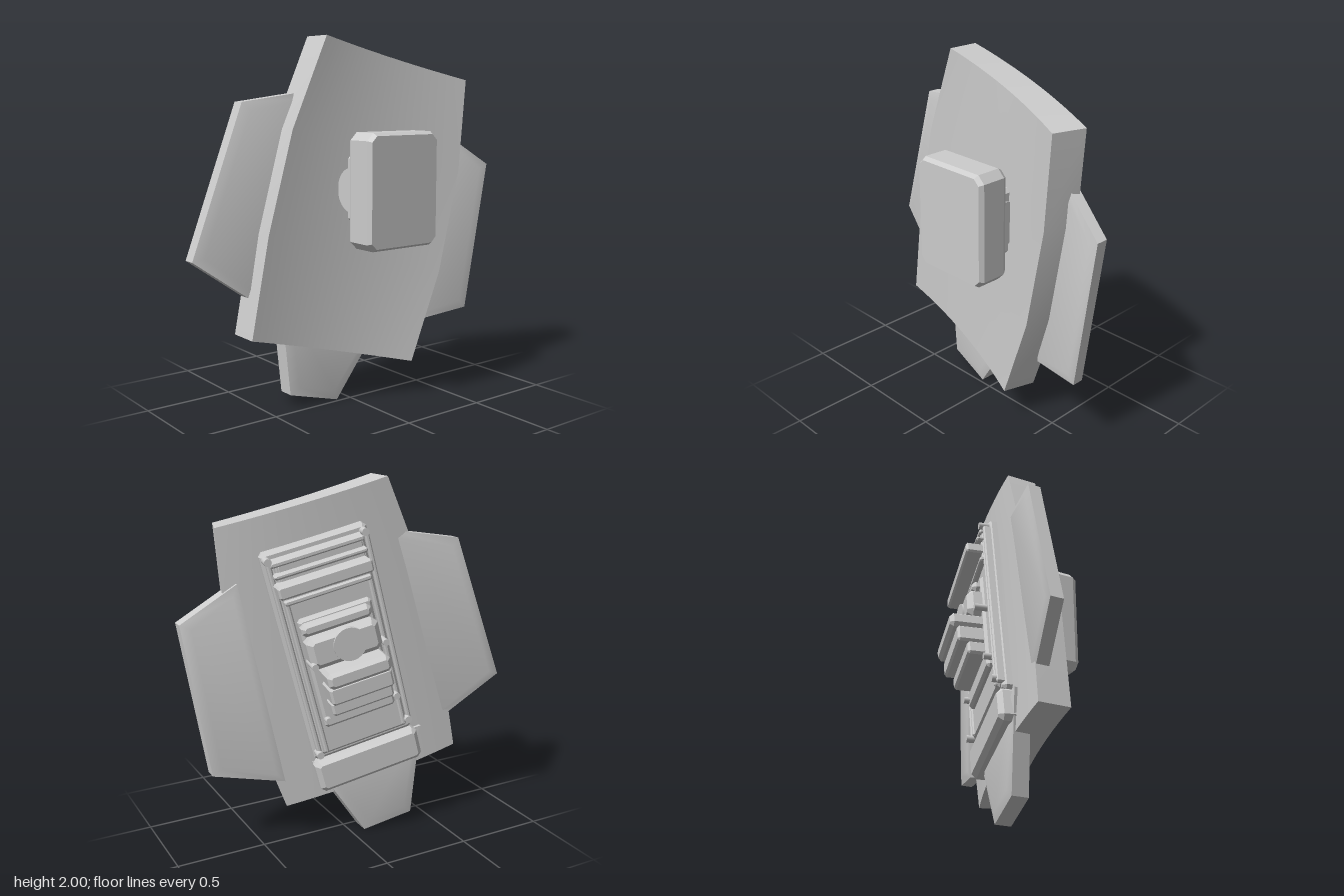
import * as THREE from 'three';
import { toCreasedNormals } from 'three/addons/utils/BufferGeometryUtils.js';

const grey = new THREE.MeshStandardMaterial({ color: 0xcccccc });
grey.name = 'light grey';

function mesh(name, geometry, parent) {
  const m = new THREE.Mesh(geometry, grey);
  m.name = name;
  parent.add(m);
  return m;
}

// Box centred on the origin: corners cut by c, face edges cut by inset and rise
function chamferBox(w, h, d, c, inset = c, rise = c) {
  const s = new THREE.Shape();
  const a = w / 2, b = h / 2;
  s.moveTo(-a + c, -b);
  s.lineTo(a - c, -b); s.lineTo(a, -b + c);
  s.lineTo(a, b - c); s.lineTo(a - c, b);
  s.lineTo(-a + c, b); s.lineTo(-a, b - c);
  s.lineTo(-a, -b + c); s.closePath();
  return new THREE.ExtrudeGeometry(s, {
    depth: d - 2 * rise, bevelThickness: rise, bevelSize: inset, bevelOffset: -inset, bevelSegments: 1,
  }).translate(0, 0, -d / 2 + rise);
}

// Slanted slab: outline in (z, y), its outer face at x = a + b z + c y
function slab(points, [a, b, c], thickness) {
  const bevel = 0.012;
  const shape = new THREE.Shape(points.map(([z, y]) => new THREE.Vector2(-z, y)));
  const g = new THREE.ExtrudeGeometry(shape, {
    depth: thickness - 2 * bevel, bevelThickness: bevel,
    bevelSize: 0.05, bevelOffset: -0.05, bevelSegments: 1,
  }).translate(0, 0, bevel).rotateY(Math.PI / 2);
  const p = g.attributes.position;
  for (let i = 0; i < p.count; i++) {
    p.setX(i, p.getX(i) + a + b * p.getZ(i) + c * p.getY(i));
  }
  return toCreasedNormals(g, 0.5);
}

// Curved main plate: a box grid bent between its front and back edges
function curvedPlate() {
  const front = [[0.075, 2.0, 0.21], [0.05, 1.52, 0.41], [0.03, 0.98, 0.55], [0.01, 0.44, 0.645]];
  const back = [[0.23, 1.775, -0.64], [0.225, 1.27, -0.6], [0.205, 0.7, -0.48], [0.18, 0.2, -0.3]];
  const g = new THREE.BoxGeometry(1, 1, 1, 14, 3, 1);
  const p = g.attributes.position;
  for (let i = 0; i < p.count; i++) {
    const t = p.getX(i) + 0.5;
    const row = Math.round((0.5 - p.getY(i)) * 3);
    const out = p.getZ(i) + 0.5;
    const [x, y, z] = [0, 1, 2].map((k) => THREE.MathUtils.lerp(back[row][k], front[row][k], t));
    p.setXYZ(i, x - 0.16 * t * (1 - t) - 0.175 * out, y, z - 0.055 * (1 - t) * out);
  }
  g.computeVertexNormals();
  return g;
}

export function createModel() {
  const model = new THREE.Group();
  model.name = 'armourShield';

  mesh('mainPlate', curvedPlate(), model);

  // Side and bottom plates
  mesh('frontWing', slab([[0.22, 1.72], [0.61, 1.66], [0.89, 0.855], [0.5, 0.565]],
    [0.0, -0.24, -0.03], 0.095), model);
  mesh('backWing', slab([[-0.6, 1.49], [-0.885, 1.29], [-0.755, 0.44], [-0.38, 0.375]],
    [-0.161, -0.3, -0.01], 0.09), model);
  mesh('bottomFin', slab([[0.41, 0.6], [0.36, 0.07], [0.08, 0], [-0.22, 0.46]],
    [-0.109, -0.17, 0], 0.115), model);

  // Mounting on the inner side
  const grip = new THREE.Group();
  grip.name = 'armMount';
  model.add(grip);
  const pad = mesh('mountPad', chamferBox(0.47, 0.61, 0.185, 0.04, 0.015, 0.025), grip);
  pad.rotation.y = Math.PI / 2;
  pad.position.set(0.273, 1.2, -0.077);
  const bracket = mesh('mountBracket', chamferBox(0.36, 0.36, 0.15, 0.02), grip);
  bracket.rotation.y = Math.PI / 2;
  bracket.position.set(0.14, 1.2, -0.1);
  const hinge = mesh('mountHinge', new THREE.CylinderGeometry(0.12, 0.12, 0.42, 32), grip);
  hinge.rotation.x = Math.PI / 2;
  hinge.position.set(0.18, 1.2, -0.08);

  // Equipment panel on the outer side: x along the width, y up, z outward
  const panel = new THREE.Group();
  panel.name = 'equipmentPanel';
  const up = new THREE.Vector3(0.034, 0.97, -0.24).normalize();
  const across = new THREE.Vector3(-0.18, 0.24, 0.95);
  const outward = across.clone().cross(up).normalize();
  across.crossVectors(up, outward).normalize();
  panel.quaternion.setFromRotationMatrix(new THREE.Matrix4().makeBasis(across, up, outward));
  panel.position.set(-0.09, 1.08, -0.07);
  model.add(panel);

  // Blocks: name, left, right, bottom, top, outer height, chamfer
  const blocks = [
    ['basePlate', -0.285, 0.3, -0.55, 0.65, 0.03, 0.02],
    ['insetPlate', -0.25, 0.27, -0.52, 0.61, 0.05, 0.015],
    ['upperStep', -0.22, 0.25, 0.36, 0.58, 0.065, 0.01],
    ['lowerCase', -0.3, 0.31, -0.74, -0.55, 0.065, 0.025],
    ['upperSlat', -0.25, 0.26, 0.57, 0.6, 0.075, 0.008],
    ['middleSlat', -0.25, 0.26, 0.51, 0.54, 0.095, 0.01],
    ['upperBar', -0.26, 0.25, 0.42, 0.49, 0.155, 0.01],
    ['lowerSlat', -0.23, 0.25, 0.36, 0.39, 0.08, 0.008],
    ['centreBed', -0.19, 0.22, -0.36, 0.27, 0.08, 0.015],
    ['centreCap', -0.19, 0.2, 0.18, 0.25, 0.12, 0.02],
    ['centreBody', -0.19, 0.21, 0.0, 0.18, 0.155, 0.03],
    ['upperBox', -0.15, 0.2, -0.09, 0.0, 0.255, 0.02],
    ['middleBox', -0.15, 0.2, -0.19, -0.09, 0.22, 0.012],
    ['lowerBox', -0.15, 0.2, -0.27, -0.19, 0.17, 0.012],
  ];
  for (const u of [-0.255, -0.215, 0.245, 0.28]) {
    blocks.push(['sideRail', u - 0.013, u + 0.013, -0.51, 0.6, 0.06, 0.008]);
  }
  for (const [name, l, r, b, t, top, c] of blocks) {
    const depth = top + 0.05;
    mesh(name, chamferBox(r - l, t - b, depth, c), panel)
      .position.set((l + r) / 2, (b + t) / 2, top - depth / 2);
  }

  // Round parts facing outward
  const rounds = [
    ['centreDisc', 0.03, 0.09, 0.09, 0.165],
    ['peg', 0.27, 0.61, 0.02, 0.08], ['peg', -0.26, 0.61, 0.02, 0.085],
    ['peg', -0.26, -0.5, 0.02, 0.085], ['peg', 0.27, -0.48, 0.02, 0.08],
    ['peg', -0.18, 0.03, 0.018, 0.17], ['peg', 0.23, 0.02, 0.018, 0.13],
    ['peg', -0.17, -0.31, 0.018, 0.11], ['peg', 0.23, -0.31, 0.018, 0.1],
  ];
  for (const [name, u, v, radius, top] of rounds) {
    const m = mesh(name, new THREE.CylinderGeometry(radius, radius, top, 24), panel);
    m.rotation.x = Math.PI / 2;
    m.position.set(u, v, top / 2);
  }

  return model;
}
